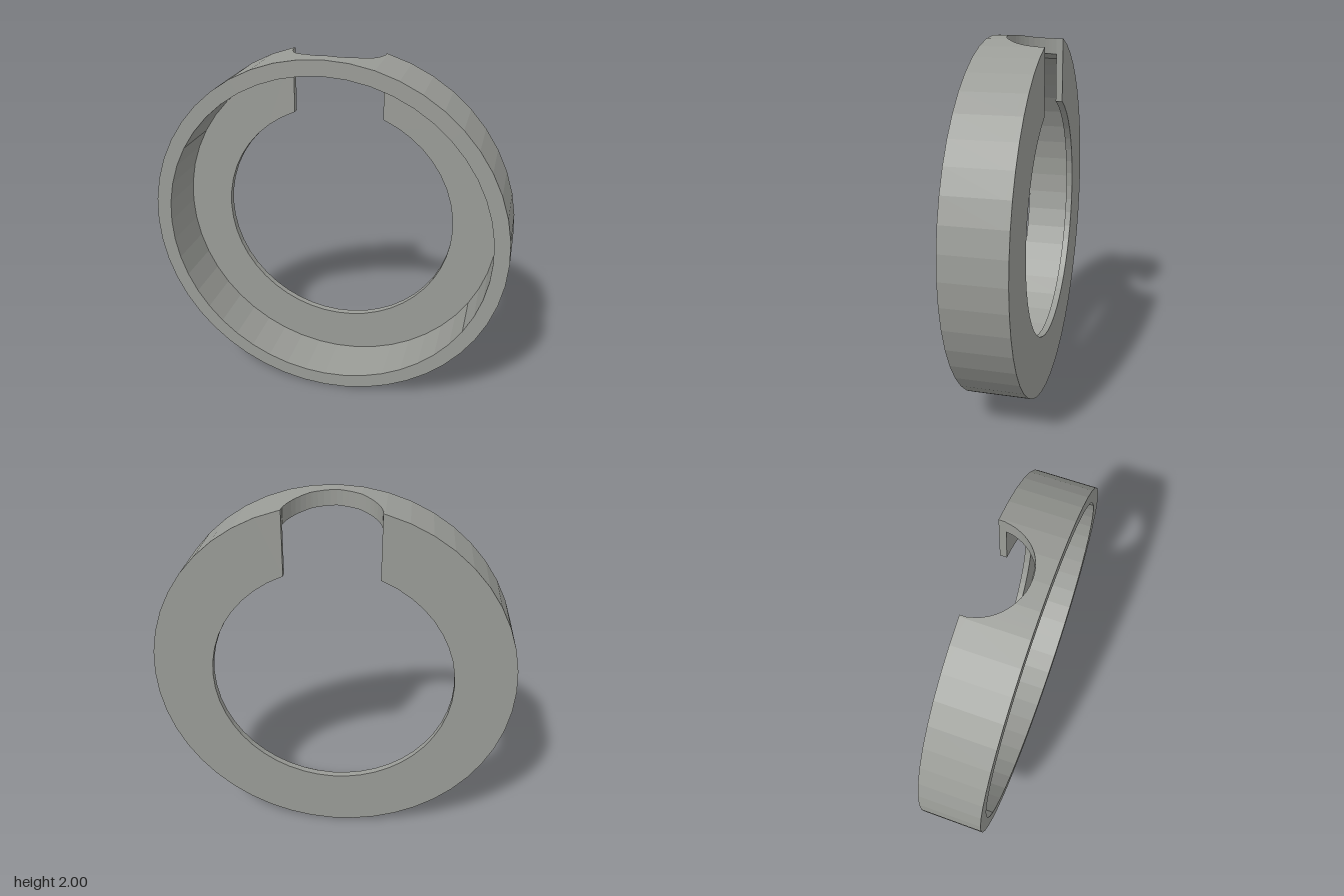
import * as THREE from 'three';

const SEGMENTS = 48, STEP = (2 * Math.PI) / SEGMENTS;
const OUTER = 1, RIM_INNER = 0.917, HOLE = 0.667;
const HALF = 0.167, LIP_FRONT = -0.13, NOTCH = 0.25;

// Corner k of a polygon of radius r, clockwise from the top
const corner = (r, k) => [r * Math.sin(k * STEP), r * Math.cos(k * STEP)];

// Point at a given x on the upper edge of that polygon
function onEdge(r, x) {
  const k = Math.floor(Math.asin(x / r) / STEP);
  const [x0, y0] = corner(r, k), [x1, y1] = corner(r, k + 1);
  return [x, y0 + ((x - x0) / (x1 - x0)) * (y1 - y0)];
}

// Flat back flange with a straight-sided gap at the top
function makeLip() {
  const pts = [onEdge(OUTER, NOTCH)];
  for (let k = 2; k <= SEGMENTS - 2; k++) pts.push(corner(OUTER, k));
  pts.push(onEdge(OUTER, -NOTCH), onEdge(HOLE, -NOTCH));
  for (let k = SEGMENTS - 3; k >= 3; k--) pts.push(corner(HOLE, k));
  pts.push(onEdge(HOLE, NOTCH));
  const shape = new THREE.Shape(pts.map(([x, y]) => new THREE.Vector2(x, y)));
  const geo = new THREE.ExtrudeGeometry(shape, { depth: LIP_FRONT + HALF, bevelEnabled: false });
  return geo.translate(0, 0, -HALF);
}

// Outer band, its back edge scooped by a half-round notch at the top
function makeRim() {
  const xs = [0];
  for (let i = 1; i <= 12; i++) xs.push(NOTCH * Math.sin((i * Math.PI) / 24));
  xs.push(corner(OUTER, 1)[0], corner(RIM_INNER, 1)[0], corner(RIM_INNER, 2)[0]);
  const notchXs = [...xs, ...xs.slice(1).map((x) => -x)].sort((a, b) => a - b);

  const sections = [];
  const add = (o, n, back) => sections.push([
    [...o, HALF], [...o, back], [...n, back], [...n, HALF],
  ]);
  for (const x of notchXs) {
    const scoop = -HALF + Math.sqrt(Math.max(0, NOTCH * NOTCH - x * x));
    add(onEdge(OUTER, x), onEdge(RIM_INNER, x), Math.max(LIP_FRONT, scoop));
  }
  for (let k = 2; k <= SEGMENTS - 2; k++) {
    let inner = corner(RIM_INNER, k);
    if (k === 2) inner = onEdge(RIM_INNER, NOTCH);
    if (k === SEGMENTS - 2) inner = onEdge(RIM_INNER, -NOTCH);
    add(corner(OUTER, k), inner, LIP_FRONT);
  }

  const pos = [];
  sections.forEach((s, i) => {
    const t = sections[(i + 1) % sections.length];
    for (let j = 0; j < 4; j++) {
      const m = (j + 1) % 4;
      pos.push(...s[j], ...t[j], ...t[m], ...s[j], ...t[m], ...s[m]);
    }
  });
  const geo = new THREE.BufferGeometry();
  geo.setAttribute('position', new THREE.Float32BufferAttribute(pos, 3));
  geo.computeVertexNormals();
  return geo;
}

export function createModel() {
  const group = new THREE.Group();
  group.name = 'notchedRing';
  const grey = new THREE.MeshStandardMaterial({ color: 0x9a9c97 });
  grey.name = 'grey';
  for (const [name, geo] of [['rim', makeRim()], ['backFlange', makeLip()]]) {
    const mesh = new THREE.Mesh(geo, grey);
    mesh.name = name;
    mesh.position.y = 1;
    group.add(mesh);
  }
  return group;
}
